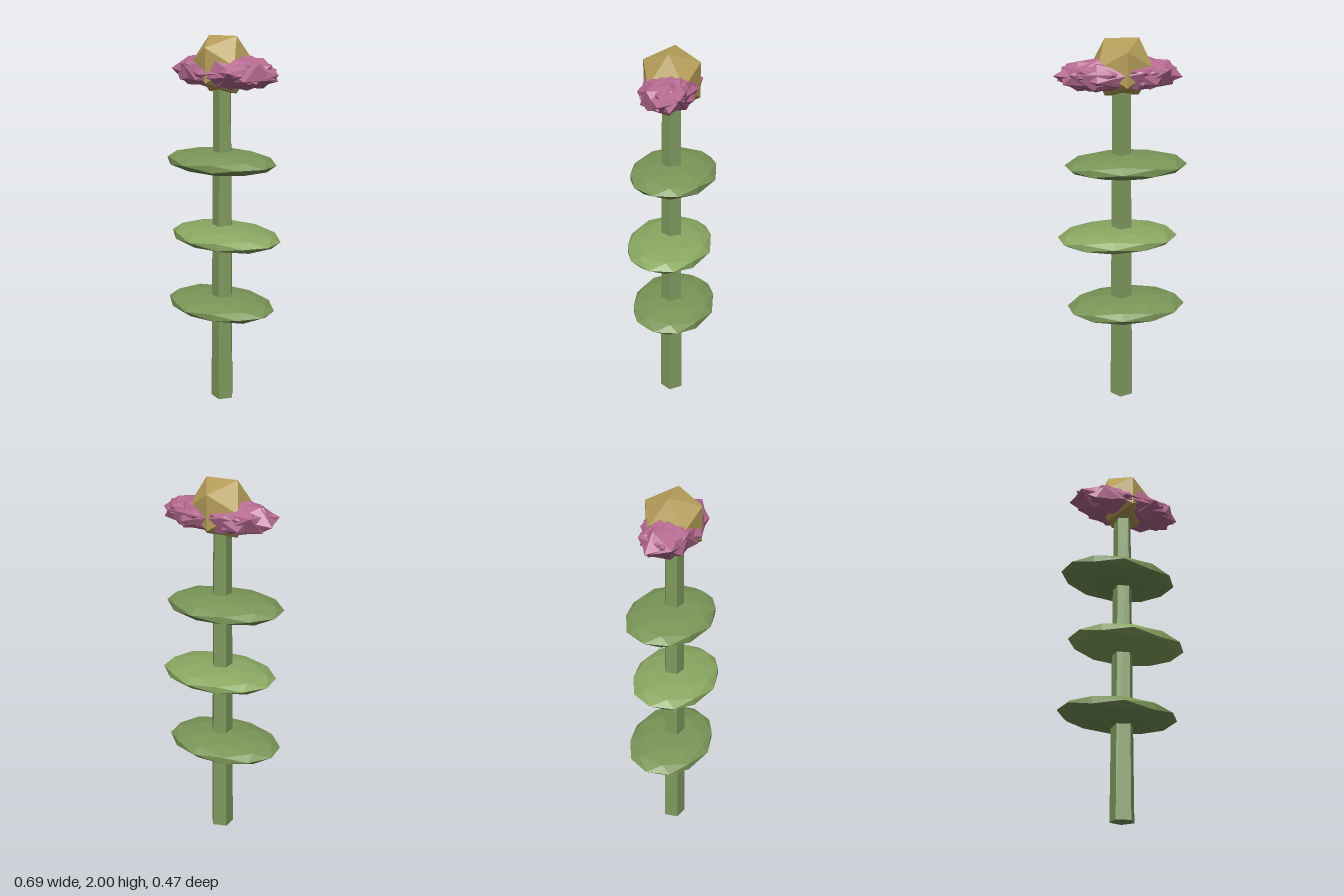
import * as THREE from 'three';

const material = (color) => new THREE.MeshStandardMaterial({ color, flatShading: true });

export function createModel() {
  const model = new THREE.Group();
  const axisX = -0.007;

  const add = (name, geometry, mat, x, y, z) => {
    const mesh = new THREE.Mesh(geometry, mat);
    mesh.name = name;
    mesh.position.set(x, y, z);
    model.add(mesh);
    return mesh;
  };

  // Five-sided tapering stem with one corner facing +x
  const stem = new THREE.CylinderGeometry(0.05, 0.065, 1.8, 5);
  stem.rotateY(Math.PI / 2);
  add('stem', stem, material(0x7f9a5e), axisX, 0.9, 0);

  // Three flattened faceted leaves, shifted to alternate sides
  const leafShape = new THREE.IcosahedronGeometry(1, 1);
  leafShape.rotateY(-0.2);
  leafShape.scale(0.326, 0.062, 0.232);
  const leafColors = [0x7a9658, 0x8aa862, 0x7a9658];
  leafColors.forEach((color, i) => {
    const side = i % 2 ? 1 : -1;
    add('leaf' + (i + 1), leafShape, material(color),
      axisX + side * 0.022, 0.548 + i * 0.4, side * 0.007);
  });

  // Overlapping stretched petals, turned before scaling to give a jagged ring
  const petalMaterial = material(0xb56a90);
  const petalCount = 15;
  for (let i = 0; i < petalCount; i++) {
    const angle = (i / petalCount) * Math.PI * 2;
    const petal = new THREE.IcosahedronGeometry(1, 0);
    petal.rotateX(i * 0.83);
    petal.rotateY(0.55 + i * 1.13);
    petal.scale(0.215, 0.088, 0.118);
    add('petal' + (i + 1), petal, petalMaterial,
      0.005 + Math.cos(angle) * 0.125, 1.82, Math.sin(angle) * 0.04);
  }

  // Faceted flower centre
  add('flowerCentre', new THREE.IcosahedronGeometry(0.169, 0), material(0xb59d58),
    axisX, 1.857, 0);

  return model;
}
